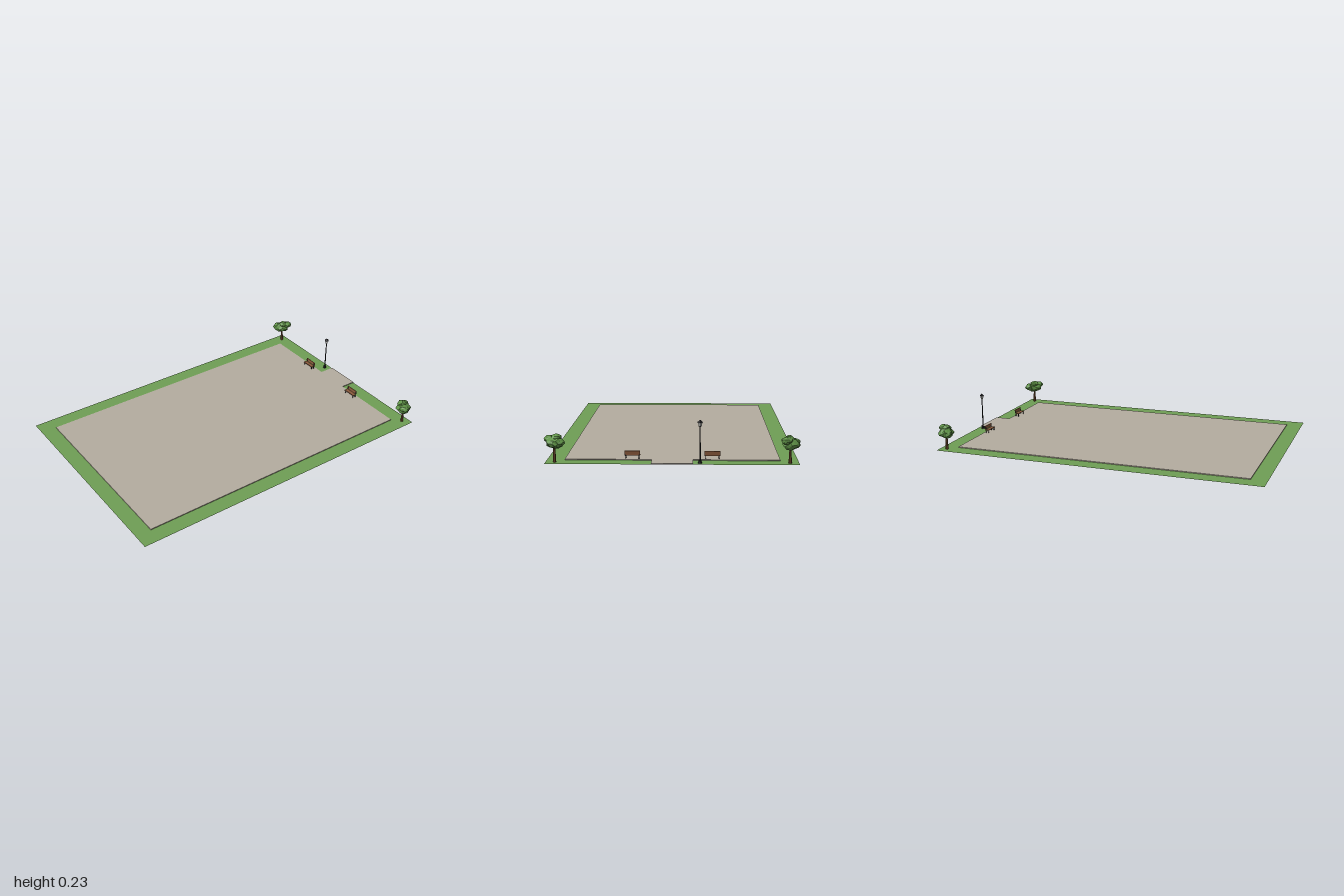
import * as THREE from 'three';

const mat = (name, color, extra = {}) => {
  const m = new THREE.MeshStandardMaterial({ color, ...extra });
  m.name = name;
  return m;
};

export function createModel() {
  const lawnMat = mat('grass', 0x6f9f55, { side: THREE.DoubleSide });
  const pavingMat = mat('paving', 0xb5ada0);
  const leafMat = mat('leaves', 0x5f9347, { flatShading: true });
  const barkMat = mat('bark', 0x6e4a2c, { flatShading: true });
  const woodMat = mat('wood', 0x8a5a3c);
  const ironMat = mat('iron', 0x222225, { flatShading: true });
  const glassMat = mat('glass', 0xc8c8c4, { flatShading: true });

  const root = new THREE.Group();
  root.name = 'park';

  const add = (parent, name, geo, material, x = 0, y = 0, z = 0) => {
    const mesh = new THREE.Mesh(geo, material);
    mesh.name = name;
    mesh.position.set(x, y, z);
    parent.add(mesh);
    return mesh;
  };
  const group = (name, x, z) => {
    const g = new THREE.Group();
    g.name = name;
    g.position.set(x, 0, z);
    root.add(g);
    return g;
  };
  // outline given as [x, z] pairs, laid flat on the ground
  const outline = (pts) => new THREE.Shape(pts.map(([x, z]) => new THREE.Vector2(x, -z)));

  // Ground: a grass border open on the +x side, around a thin paved court with an entrance path
  const X0 = -0.905, X1 = 0.89, Z = 0.577, edge = 0.985, gap = 0.11;
  const lawn = outline([
    [-1, -0.673], [edge, -0.673], [edge, -gap], [X1, -gap], [X1, -Z], [X0, -Z],
    [X0, Z], [X1, Z], [X1, gap], [edge, gap], [edge, 0.673], [-1, 0.673],
  ]);
  add(root, 'lawn', new THREE.ShapeGeometry(lawn).rotateX(-Math.PI / 2), lawnMat);
  const court = outline([
    [X0, -Z], [X1, -Z], [X1, -gap], [edge, -gap], [edge, gap], [X1, gap], [X1, Z], [X0, Z],
  ]);
  const slab = new THREE.ExtrudeGeometry(court, { depth: 0.005, bevelEnabled: false });
  add(root, 'paving', slab.rotateX(-Math.PI / 2), pavingMat);

  // Irregular faceted leaf clump: each corner is pushed in or out by a rule on its position
  const clump = (rx, ry, rz, seed) => {
    const geo = new THREE.IcosahedronGeometry(1, 1);
    const p = geo.attributes.position;
    const v = new THREE.Vector3();
    for (let i = 0; i < p.count; i++) {
      v.fromBufferAttribute(p, i);
      const k = 1 + 0.12 * Math.sin(5.1 * v.x + 7.3 * v.y + 3.7 * v.z + seed);
      p.setXYZ(i, v.x * k * rx, v.y * k * ry, v.z * k * rz);
    }
    geo.computeVertexNormals();
    return geo;
  };

  // Trees: tapered trunk, wide crown and smaller clumps; lobes are [x, y, z, rx, ry, rz]
  const tree = (x, z, lobes, seed) => {
    const g = group('tree', x, z);
    add(g, 'trunk', new THREE.CylinderGeometry(0.005, 0.009, 0.09, 6), barkMat, 0, 0.045, 0);
    lobes.forEach(([lx, ly, lz, rx, ry, rz], i) =>
      add(g, 'foliage', clump(rx, ry, rz, seed + i * 2), leafMat, lx, ly, lz));
  };
  tree(0.94, 0.624, [
    [-0.002, 0.105, 0, 0.046, 0.033, 0.046],
    [-0.022, 0.122, 0.028, 0.03, 0.02, 0.03],
    [0.026, 0.108, -0.026, 0.029, 0.024, 0.032],
    [-0.006, 0.131, -0.012, 0.028, 0.02, 0.028],
  ], 1);
  tree(0.94, -0.624, [
    [0, 0.104, -0.004, 0.046, 0.033, 0.044],
    [0.026, 0.125, 0.022, 0.029, 0.021, 0.03],
    [-0.022, 0.104, -0.026, 0.03, 0.026, 0.03],
    [0, 0.131, 0.006, 0.028, 0.02, 0.026],
  ], 4);

  // Benches: seat and backrest on iron legs, facing the court
  for (const z of [-0.215, 0.215]) {
    const g = group('bench', 0.865, z);
    add(g, 'seat', new THREE.BoxGeometry(0.024, 0.004, 0.084), woodMat, -0.002, 0.025, 0);
    const back = add(g, 'backrest', new THREE.BoxGeometry(0.004, 0.021, 0.084), woodMat, 0.012, 0.039, 0);
    back.rotation.z = -0.08;
    for (const lz of [-0.036, 0.036]) {
      for (const lx of [-0.01, 0.009])
        add(g, 'benchLeg', new THREE.BoxGeometry(0.003, 0.024, 0.004), ironMat, lx, 0.012, lz);
      add(g, 'backBracket', new THREE.BoxGeometry(0.003, 0.022, 0.004), ironMat, 0.0095, 0.031, lz);
    }
  }

  // Street lamp: footing, post, tapered lantern and pyramid cap
  const lamp = group('streetLamp', 0.95, -0.148);
  add(lamp, 'lampBase', new THREE.CylinderGeometry(0.008, 0.011, 0.015, 8), ironMat, 0, 0.0075, 0);
  add(lamp, 'lampPost', new THREE.CylinderGeometry(0.003, 0.004, 0.185, 8), ironMat, 0, 0.106, 0);
  add(lamp, 'lanternTray', new THREE.CylinderGeometry(0.009, 0.007, 0.003, 4), ironMat, 0, 0.198, 0);
  add(lamp, 'lantern', new THREE.CylinderGeometry(0.012, 0.008, 0.019, 4), glassMat, 0, 0.209, 0);
  add(lamp, 'lanternCap', new THREE.CylinderGeometry(0.003, 0.017, 0.013, 4), ironMat, 0, 0.225, 0);

  return root;
}
